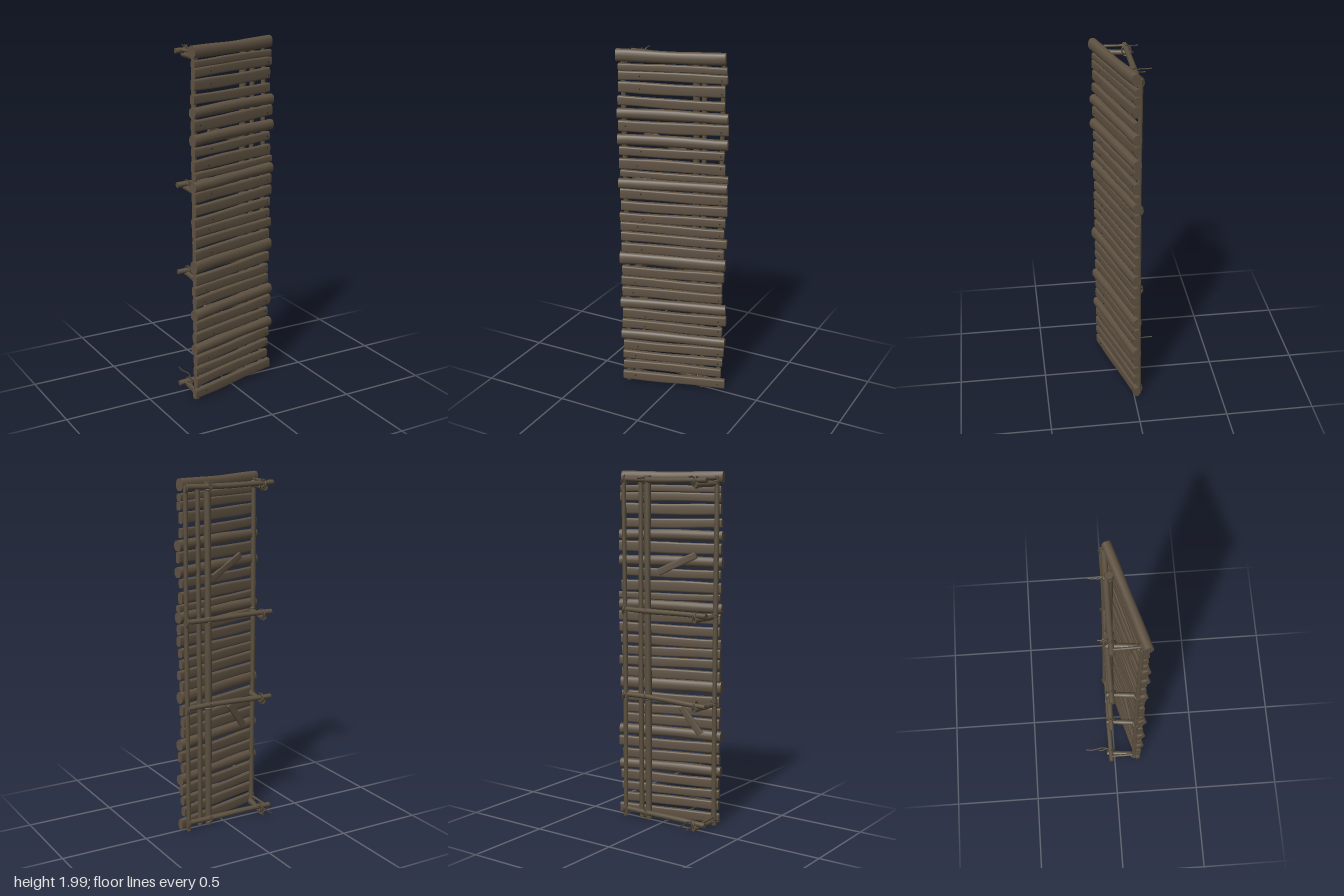
import * as THREE from 'three';

const wood = new THREE.MeshStandardMaterial({ color: 0x5e5141 });
wood.name = 'weathered wood';
const poleWood = new THREE.MeshStandardMaterial({ color: 0x5a4f3e });
poleWood.name = 'pole wood';
const cord = new THREE.MeshStandardMaterial({ color: 0x4d4334 });
cord.name = 'cord';
const iron = new THREE.MeshStandardMaterial({ color: 0x2e2923 });
iron.name = 'nail iron';

const V = (x, y, z) => new THREE.Vector3(x, y, z);
let seed = 11;
const rand = () => {
  seed = (seed * 16807) % 2147483647;
  return seed / 2147483647;
};
const vary = (amount) => (rand() - 0.5) * 2 * amount;

// Depth of the slanting wall's middle at a given x
const wallZ = (x) => 0.148 - 0.283 * (x + 0.29);

// Irregular beam from a to b; square < 1 flattens the section towards a plank
function beamGeometry(a, b, half, depth, { square = 1, wobble = 0, sway = 0, sides = 14, steps = 10 } = {}) {
  const dir = b.clone().sub(a).normalize();
  const ref = Math.abs(dir.y) > 0.8 ? V(0, 0, 1) : V(0, 1, 0);
  const side = dir.clone().cross(ref).normalize();
  const up = side.clone().cross(dir);
  const pos = [], index = [];
  const phase = rand() * 6, phase2 = rand() * 6;
  const bend = (c) => Math.sign(c) * Math.pow(Math.abs(c), square);
  const rings = [];
  for (let i = 0; i <= steps; i++) {
    const t = i / steps;
    const centre = a.clone().lerp(b, t)
      .addScaledVector(up, sway * Math.sin(t * 5 + phase))
      .addScaledVector(side, sway * 0.5 * Math.sin(t * 4 + phase2));
    const scale = 1 + wobble * Math.sin(t * 9 + phase2) + vary(wobble * 0.6);
    const ring = [];
    for (let j = 0; j < sides; j++) {
      const ang = (j / sides) * Math.PI * 2;
      ring.push(centre.clone()
        .addScaledVector(up, bend(Math.cos(ang)) * half * scale)
        .addScaledVector(side, bend(Math.sin(ang)) * depth * scale));
    }
    rings.push(ring);
    ring.forEach((p) => pos.push(p.x, p.y, p.z));
  }
  for (let i = 0; i < steps; i++) {
    for (let j = 0; j < sides; j++) {
      const k = (j + 1) % sides, p = i * sides, q = p + sides;
      index.push(p + j, p + k, q + j, p + k, q + k, q + j);
    }
  }
  // Sawn ends with their own vertices, so the rim stays sharp
  [rings[0], rings[steps]].forEach((ring, end) => {
    const base = pos.length / 3;
    ring.forEach((p) => pos.push(p.x, p.y, p.z));
    for (let j = 1; j < sides - 1; j++) {
      if (end) index.push(base, base + j, base + j + 1);
      else index.push(base, base + j + 1, base + j);
    }
  });
  const geo = new THREE.BufferGeometry();
  geo.setAttribute('position', new THREE.Float32BufferAttribute(pos, 3));
  geo.setIndex(index);
  geo.computeVertexNormals();
  return geo;
}

export function createModel() {
  const model = new THREE.Group();
  model.name = 'logWall';
  const add = (name, geo, mat, parent = model) => {
    const mesh = new THREE.Mesh(geo, mat);
    mesh.name = name;
    parent.add(mesh);
    return mesh;
  };
  const section = (name) => {
    const group = new THREE.Group();
    group.name = name;
    model.add(group);
    return group;
  };

  // Cladding: [centre height, board height, 1 for a round log]
  const boards = [
    [1.963, 0.066, 1], [1.902, 0.038, 0], [1.855, 0.048, 0], [1.785, 0.06, 0], [1.712, 0.052, 0],
    [1.646, 0.058, 1], [1.575, 0.063, 0], [1.5, 0.06, 1], [1.432, 0.05, 0], [1.362, 0.062, 0],
    [1.305, 0.038, 0], [1.25, 0.058, 1], [1.183, 0.058, 0], [1.114, 0.056, 0], [1.05, 0.052, 0],
    [0.987, 0.052, 0], [0.928, 0.053, 0], [0.861, 0.057, 0], [0.796, 0.07, 1], [0.722, 0.058, 0],
    [0.659, 0.053, 0], [0.59, 0.058, 0], [0.521, 0.06, 1], [0.452, 0.057, 0], [0.384, 0.056, 0],
    [0.315, 0.058, 1], [0.246, 0.056, 0], [0.183, 0.049, 0], [0.119, 0.053, 0], [0.048, 0.056, 0],
  ];
  const cladding = section('cladding');
  const nails = section('nails');
  boards.forEach(([y, h, round], i) => {
    const x0 = round ? -0.294 : -0.288 + vary(0.004);
    const x1 = i === 0 ? 0.27 : 0.279 + vary(0.013);
    const shift = round ? 0.004 : 0;
    const geo = beamGeometry(
      V(x0, y + vary(0.003), wallZ(x0) + shift), V(x1, y + vary(0.005), wallZ(x1) + shift),
      h / 2, round ? 0.025 : 0.015,
      { square: round ? 0.85 : 0.45, wobble: 0.035, sway: 0.002, sides: 16 });
    add(round ? 'log' : 'plank', geo, wood, cladding);
    if (!round && i % 3 !== 1) {
      for (const x of [-0.2 + vary(0.05), 0.255]) {
        const nail = add('nail', new THREE.CylinderGeometry(0.004, 0.004, 0.006, 8), iron, nails);
        nail.position.set(x, y + vary(0.01), wallZ(x) + 0.015);
        nail.rotation.set(Math.PI / 2, 0, -0.28);
      }
    }
  });

  // Upright poles behind the cladding: [x, z, radius, top]
  const uprights = section('uprightPoles');
  [[0.1, -0.004, 0.019, 1.97], [0.153, 0.003, 0.014, 1.95],
    [0.245, -0.028, 0.013, 1.96], [-0.268, 0.124, 0.014, 1.97]].forEach(([x, z, r, top]) => {
    add('uprightPole', beamGeometry(V(x, 0.006, z), V(x, top, z), r, r,
      { wobble: 0.06, sway: 0.003, steps: 16 }), poleWood, uprights);
  });

  // Cross poles and short spacers hold the wall away from its support
  const frame = section('backFrame');
  const lashings = section('lashings');
  const lash = (x, y, z, r, rx, ry) => {
    for (let i = 0; i < 2; i++) {
      const ring = add('lashing', new THREE.TorusGeometry(r, 0.004, 6, 16), cord, lashings);
      ring.position.set(x, y + (i - 0.5) * 0.008, z);
      ring.rotation.set(rx + (i - 0.5) * 0.7, ry + (i - 0.5) * 0.5, 0);
    }
  };
  [1.945, 1.22, 0.725, 0.045].forEach((y, i) => {
    add('crossPole', beamGeometry(V(-0.3, y, -0.021), V(0.255, y + 0.006, -0.021), 0.015, 0.015,
      { wobble: 0.05, sway: 0.003 }), poleWood, frame);
    add('spacer', beamGeometry(V(-0.258, y - 0.018, 0.125), V(-0.238, y - 0.022, -0.045), 0.015, 0.015,
      { wobble: 0.06 }), poleWood, frame);
    if (i % 3 === 0) {
      add('thinSpacer', beamGeometry(V(-0.27, y + 0.01, 0.12), V(-0.272, y + 0.008, -0.02), 0.007, 0.007,
        { wobble: 0.06 }), poleWood, frame);
    }
    lash(-0.235, y - 0.008, -0.022, 0.026, 0, Math.PI / 2);
    lash(0.1, y, -0.008, 0.025, Math.PI / 2, 0);
    lash(0.245, y, -0.026, 0.022, 0, Math.PI / 2);
    lash(-0.265, y - 0.01, 0.122, 0.019, Math.PI / 2, 0);
  });

  // Loose cord ends: [x, y, start z, end z]
  [[-0.222, 0.062, -0.03, -0.18], [-0.218, 0.02, -0.03, -0.1], [0.098, 1.955, -0.02, -0.108],
    [0.102, 1.94, -0.02, -0.075], [-0.225, 1.965, -0.03, -0.085], [-0.218, 1.93, -0.03, -0.06]]
    .forEach(([x, y, z0, z1]) => {
      const path = new THREE.CatmullRomCurve3([
        V(x, y - 0.006, z0), V(x + 0.006, y + 0.004, z0 * 0.7 + z1 * 0.3),
        V(x - 0.003, y, z0 * 0.3 + z1 * 0.7), V(x, y + 0.003, z1)]);
      add('cordEnd', new THREE.TubeGeometry(path, 12, 0.0035, 6), cord, lashings);
    });

  // Loose slats nailed aslant to the back of the cladding
  [[0.05, 1.44, -0.16, 1.54], [-0.08, 0.68, -0.19, 0.53]].forEach(([x0, y0, x1, y1]) => {
    add('slantingSlat', beamGeometry(V(x0, y0, wallZ(x0) - 0.022), V(x1, y1, wallZ(x1) - 0.022),
      0.02, 0.008, { square: 0.45, wobble: 0.02 }), wood, frame);
  });

  return model;
}
